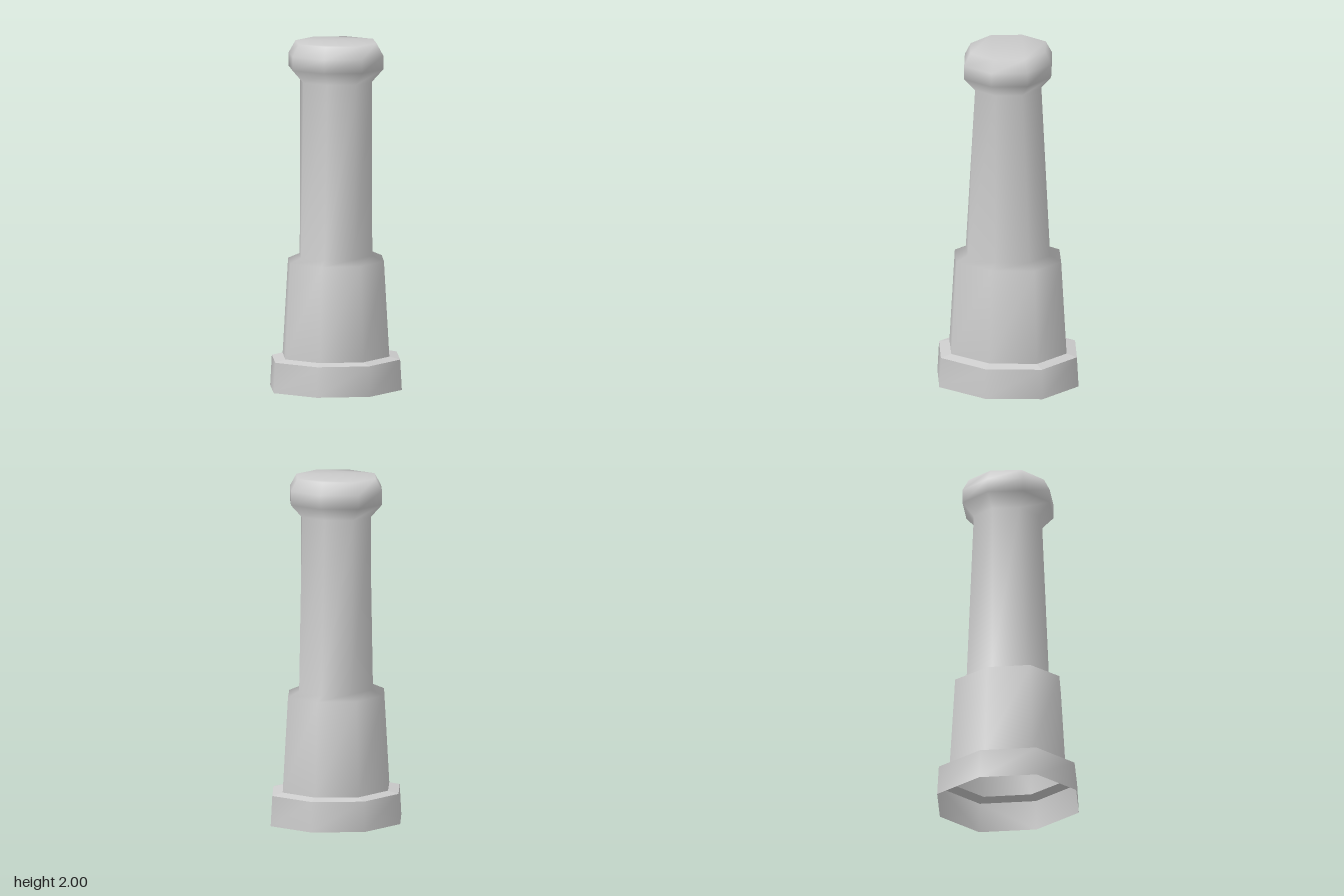
import * as THREE from 'three';

const SIDES = 8;

// Octagonal ring, corners on the axes, slightly fuller at the diagonals: [y, xRadius, zRadius]
function ringPoints([y, rx, rz]) {
  const pts = [];
  for (let i = 0; i < SIDES; i++) {
    const a = (i / SIDES) * Math.PI * 2;
    const k = i % 2 ? 1.035 : 1;
    pts.push(Math.sin(a) * rx * k, y, Math.cos(a) * rz * k);
  }
  return pts;
}

// Skin stacked rings, optionally closing the top; flat gives one normal per face
function loft(rings, { cap = false, flat = false } = {}) {
  const index = [];
  for (let r = 0; r < rings.length - 1; r++) {
    for (let i = 0; i < SIDES; i++) {
      const j = (i + 1) % SIDES;
      const a = r * SIDES + i, b = r * SIDES + j;
      index.push(a, b, b + SIDES, a, b + SIDES, a + SIDES);
    }
  }
  if (cap) {
    // strips across the top, sharing the rim corners so the shading stays soft
    const o = (rings.length - 1) * SIDES;
    for (const [a, b, c] of [[0, 1, 7], [7, 1, 2], [7, 2, 6], [6, 2, 3], [6, 3, 5], [5, 3, 4]]) {
      index.push(o + a, o + b, o + c);
    }
  }
  let geo = new THREE.BufferGeometry();
  geo.setAttribute('position', new THREE.Float32BufferAttribute(rings.flatMap(ringPoints), 3));
  geo.setIndex(index);
  if (flat) geo = geo.toNonIndexed();
  geo.computeVertexNormals();
  return geo;
}

export function createModel() {
  const group = new THREE.Group();
  const grey = new THREE.MeshStandardMaterial({ color: 0xcccccc, side: THREE.DoubleSide });
  grey.name = 'light grey';

  const add = (name, geo) => {
    const mesh = new THREE.Mesh(geo, grey);
    mesh.name = name;
    group.add(mesh);
  };

  const baseTop = [0.175, 0.38, 0.42];
  const bodyFoot = [0.19, 0.316, 0.357];

  // Open-bottomed plinth and its sloping ledge
  add('baseWall', loft([[0, 0.39, 0.43], baseTop]));
  add('baseLedge', loft([baseTop, bodyFoot], { flat: true }));

  // Body, shoulder, tapering shaft and rounded head in one smooth skin
  add('column', loft([
    bodyFoot,
    [0.74, 0.284, 0.324],
    [0.77, 0.215, 0.257],
    [1.775, 0.212, 0.197],
    [1.85, 0.28, 0.263],
    [1.93, 0.28, 0.263],
    [2.0, 0.24, 0.227],
  ], { cap: true }));

  return group;
}
